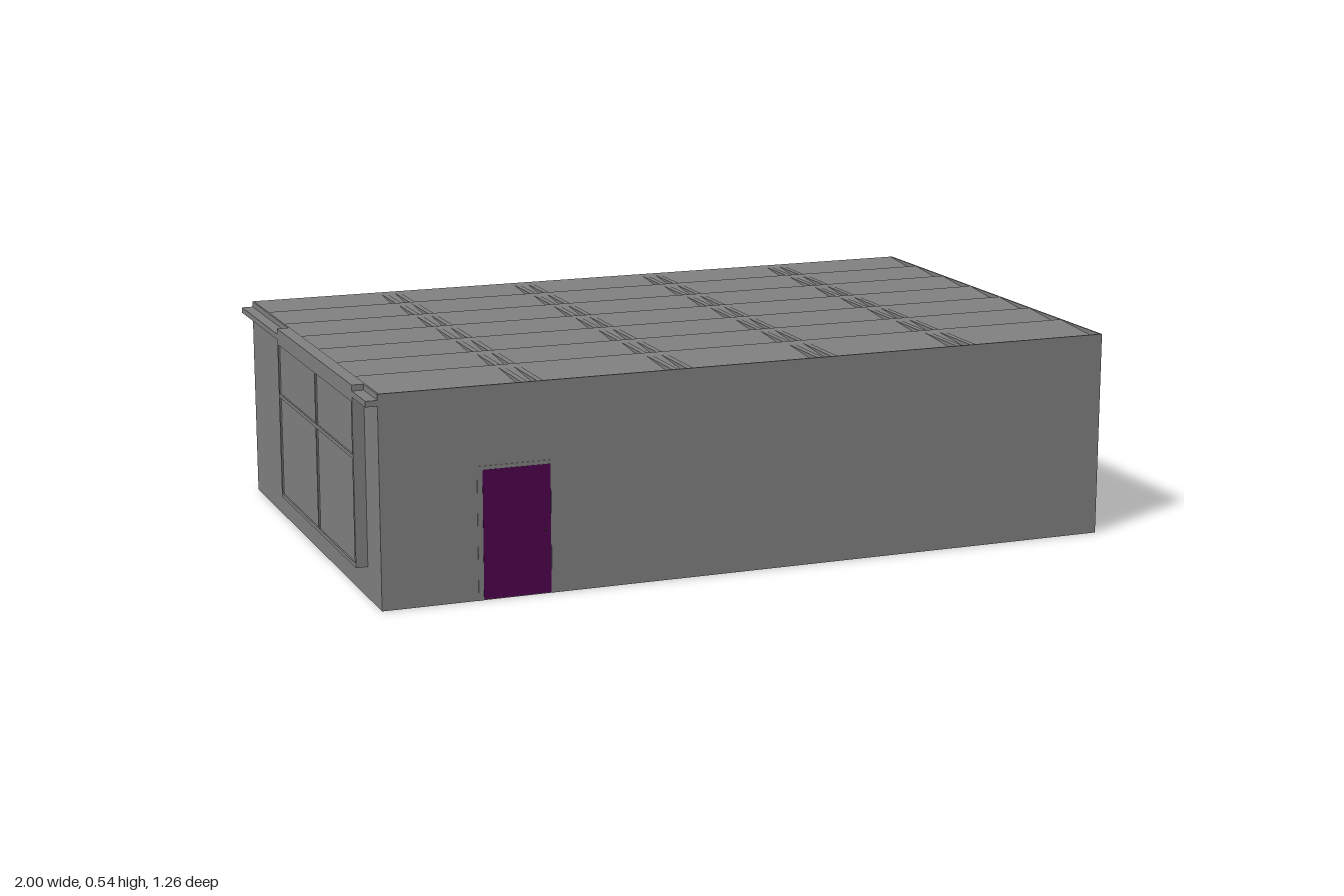
import * as THREE from 'three';

export function createModel() {
  const root = new THREE.Group();
  const grey = new THREE.MeshStandardMaterial({ color: 0x808080 });
  grey.name = 'concrete grey';
  const purple = new THREE.MeshStandardMaterial({ color: 0x4d024d });
  purple.name = 'door purple';

  // Box given by its limits on each axis
  function block(name, [x0, x1], [y0, y1], [z0, z1], mat = grey, parent = root) {
    const mesh = new THREE.Mesh(new THREE.BoxGeometry(x1 - x0, y1 - y0, z1 - z0), mat);
    mesh.position.set((x0 + x1) / 2, (y0 + y1) / 2, (z0 + z1) / 2);
    mesh.name = name;
    parent.add(mesh);
    return mesh;
  }

  const W = -0.97, E = 1, D = 0.63, H = 0.54, slab = 0.012, deck = 0.51;
  block('walls', [W, E], [slab, deck], [-D, D]);

  // Roof of seven panels, each falling slightly towards the front
  const cap = 0.005, drop = 0.016;
  const seams = [-D, -0.46, -0.285, -0.11, 0.065, 0.24, 0.415, D - cap];
  const roof = new THREE.Group();
  roof.name = 'roof';
  root.add(roof);
  const profile = [new THREE.Vector2(D - cap, deck), new THREE.Vector2(-D, deck)];
  for (let i = 0; i < seams.length - 1; i++) {
    profile.push(new THREE.Vector2(seams[i], H), new THREE.Vector2(seams[i + 1], H - drop));
  }
  const panelGeo = new THREE.ExtrudeGeometry(new THREE.Shape(profile), {
    depth: E - W - 2 * cap, bevelEnabled: false,
  });
  panelGeo.rotateY(-Math.PI / 2).translate(E - cap, 0, 0);
  const panels = new THREE.Mesh(panelGeo, grey);
  panels.name = 'roofPanels';
  roof.add(panels);

  // Wall tops around the panels
  block('wallTop', [W, W + cap], [deck, H], [-D, D], grey, roof);
  block('wallTop', [E - cap, E], [deck, H], [-D, D], grey, roof);
  block('wallTop', [W + cap, E - cap], [deck, H], [D - cap, D], grey, roof);

  // Paired roof beams that show above the low side of each panel
  for (let bay = 1; bay < 5; bay++) {
    const x = W + bay * (E - W) / 5;
    for (const dx of [-0.02, 0.02]) {
      block('roofBeam', [x + dx - 0.008, x + dx + 0.008], [deck, H - 0.002], [-D + 0.01, D - cap], grey, roof);
    }
  }

  // Floor slab with two curved track grooves
  const floorShape = new THREE.Shape([
    new THREE.Vector2(W, -D), new THREE.Vector2(E, -D),
    new THREE.Vector2(E, D), new THREE.Vector2(W, D),
  ]);
  const cx = 0.015, cz = 0.52, half = 0.009;
  function trackLine(radius, z) {
    const t0 = Math.acos((cz - z) / radius);
    const pts = [new THREE.Vector2(E - 0.002, z)];
    for (let i = 0; i <= 40; i++) {
      const t = t0 * (1 - i / 20);
      pts.push(new THREE.Vector2(cx + radius * Math.sin(t), cz - radius * Math.cos(t)));
    }
    pts.push(new THREE.Vector2(W + 0.002, z));
    return pts;
  }
  for (const [radius, z] of [[0.93, 0.01], [0.76, 0.17]]) {
    const far = trackLine(radius + half, z - half);
    const near = trackLine(radius - half, z + half).reverse();
    floorShape.holes.push(new THREE.Path([...far, ...near]));
  }
  const floorGeo = new THREE.ExtrudeGeometry(floorShape, { depth: slab, bevelEnabled: false });
  floorGeo.rotateX(Math.PI / 2).translate(0, slab, 0);
  const floor = new THREE.Mesh(floorGeo, grey);
  floor.name = 'floor';
  root.add(floor);

  // Front door with frame, hinges and knob
  const door = new THREE.Group();
  door.name = 'frontDoor';
  root.add(door);
  block('doorLeaf', [-0.71, -0.535], [0.002, 0.33], [D - 0.004, D + 0.0008], purple, door);
  const frameZ = [D - 0.004, D + 0.0015];
  block('doorJamb', [-0.724, -0.711], [0, 0.34], frameZ, grey, door);
  block('doorJamb', [-0.534, -0.528], [0, 0.34], frameZ, grey, door);
  block('doorLintel', [-0.711, -0.534], [0.331, 0.34], frameZ, grey, door);
  for (const y of [0.02, 0.1]) {
    block('hinge', [-0.724, -0.713], [y - 0.015, y + 0.015], [D, D + 0.002], grey, door);
  }
  const knob = new THREE.Mesh(new THREE.SphereGeometry(0.003, 12, 8), purple);
  knob.position.set(-0.55, 0.165, D + 0.001);
  knob.name = 'doorKnob';
  door.add(knob);

  // Sliding side door: recessed board with a slightly proud frame
  const slider = new THREE.Group();
  slider.name = 'slidingDoor';
  root.add(slider);
  const y0 = 0.08, y1 = 0.508, z0 = -0.23, z1 = 0.51, t = 0.01;
  block('sliderBoard', [-0.996, W], [y0, y1], [z0, z1], grey, slider);
  const proud = [-1, -0.995];
  for (const z of [z0, 0.15, z1 - t]) {
    block('sliderStile', proud, [y0, y1], [z, z + t], grey, slider);
  }
  for (const y of [y0, 0.355, y1 - t]) {
    block('sliderRail', proud, [y, y + t], [z0, z1], grey, slider);
  }
  block('sliderHanger', [-1, W], [y1, H], [z0, z1], grey, slider);

  // Overhead track on both sides of the hanger
  for (const span of [[-D, z0], [z1, D]]) {
    block('overheadTrack', [-1, W], [0.51, 0.525], span);
  }

  return root;
}
